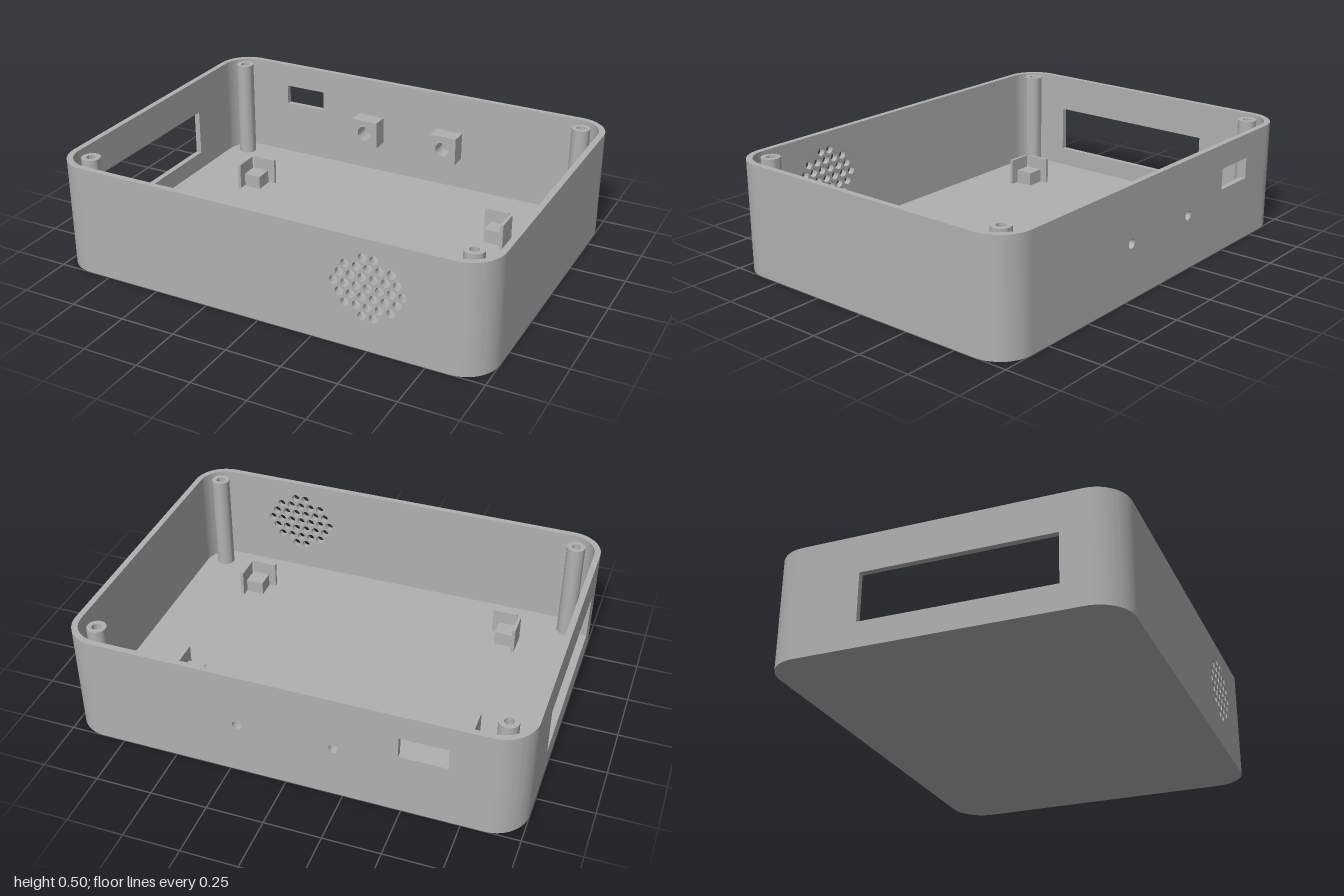
import * as THREE from 'three';
import { toCreasedNormals } from 'three/addons/utils/BufferGeometryUtils.js';

const W = 1, D = 0.75, H = 0.5;   // half width, half depth, height
const R = 0.15, T = 0.027;        // corner radius, wall thickness
const FLOOR = 0.025;

export function createModel() {
  const model = new THREE.Group();
  model.name = 'enclosure';
  const grey = new THREE.MeshStandardMaterial({ color: 0xb0b0b0 });
  grey.name = 'grey plastic';

  const add = (name, geo, x = 0, y = 0, z = 0, parent = model) => {
    const mesh = new THREE.Mesh(toCreasedNormals(geo, 0.6), grey);
    mesh.name = name;
    mesh.position.set(x, y, z);
    parent.add(mesh);
    return mesh;
  };
  const extrude = (shape, depth, curveSegments = 12) =>
    new THREE.ExtrudeGeometry(shape, { depth, bevelEnabled: false, curveSegments });
  const rect = (x0, y0, x1, y1, Type = THREE.Shape) => new Type([
    new THREE.Vector2(x0, y0), new THREE.Vector2(x1, y0),
    new THREE.Vector2(x1, y1), new THREE.Vector2(x0, y1),
  ]);
  const circle = (x, y, r) => new THREE.Path().absarc(x, y, r, 0, Math.PI * 2, true);
  const panel = (half, holes = []) => {
    const shape = rect(-half, 0, half, H);
    shape.holes.push(...holes);
    return extrude(shape, T, 8);
  };

  // Floor with rounded corners
  const fx = W - R, fz = D - R, fr = R - T;
  const floor = new THREE.Shape();
  floor.absarc(fx, fz, fr, 0, Math.PI / 2);
  floor.absarc(-fx, fz, fr, Math.PI / 2, Math.PI);
  floor.absarc(-fx, -fz, fr, Math.PI, Math.PI * 1.5);
  floor.absarc(fx, -fz, fr, Math.PI * 1.5, Math.PI * 2);
  add('floor', extrude(floor, FLOOR).rotateX(-Math.PI / 2));

  // Front wall with a hexagonal speaker grille
  const grille = [];
  [2, 5, 6, 7, 6, 5, 2].forEach((count, row) => {
    for (let i = 0; i < count; i++) {
      grille.push(circle(0.5 + (i - (count - 1) / 2) * 0.05, 0.285 + (3 - row) * 0.0433, 0.019));
    }
  });
  add('frontWall', panel(fx, grille), 0, 0, D - T);

  // Back wall with a port window and two button holes
  const buttons = [-0.21, 0.21], buttonY = 0.247;
  add('backWall', panel(fx, [
    rect(-0.687, 0.29, -0.481, 0.387, THREE.Path),
    ...buttons.map(x => circle(x, buttonY, 0.021)),
  ]), 0, 0, -D);

  // Side walls, the one at -x with a large opening
  add('rightWall', panel(fz, [rect(-0.33, 0.112, 0.505, 0.33, THREE.Path)]).rotateY(-Math.PI / 2), -W + T);
  add('leftWall', panel(fz).rotateY(-Math.PI / 2), W);

  // Rounded wall corners
  const arc = new THREE.Shape();
  arc.absarc(0, 0, R, 0, Math.PI / 2);
  arc.absarc(0, 0, R - T, Math.PI / 2, 0, true);
  [[1, -1], [-1, -1], [-1, 1], [1, 1]].forEach(([sx, sz], k) => {
    add('cornerWall', extrude(arc, H).rotateX(-Math.PI / 2).rotateY(k * Math.PI / 2), sx * fx, 0, sz * fz);
  });

  // Screw posts with blind holes
  const post = [[0.042, FLOOR], [0.042, H], [0.02, H], [0.02, 0.25], [0, 0.25]]
    .map(([r, y]) => new THREE.Vector2(r, y));
  for (const sx of [-1, 1]) for (const sz of [-1, 1]) {
    add('screwPost', new THREE.LatheGeometry(post, 32), sx * 0.884, 0, sz * 0.634);
  }

  // Button housings on the inside of the back wall
  for (const x of buttons) {
    const block = rect(-0.067, -0.067, 0.067, 0.067);
    block.holes.push(circle(0, 0, 0.036));
    add('buttonHousing', extrude(block, 0.08), x, buttonY, -D + T);
  }

  // Board supports: a low block with two thin fences around its outer corner
  for (const sx of [-1, 1]) for (const sz of [-1, 1]) {
    const support = new THREE.Group();
    support.name = 'boardSupport';
    support.position.set(sx * 0.63, FLOOR, 0.08 + sz * 0.378);
    model.add(support);
    const box = (name, w, h, d, x, z) =>
      add(name, new THREE.BoxGeometry(w, h, d), sx * x, h / 2, sz * z, support);
    box('supportBlock', 0.083, 0.065, 0.083, 0, 0);
    box('endFence', 0.115, 0.123, 0.015, -0.017, 0.054);
    box('sideFence', 0.015, 0.123, 0.115, 0.053, -0.017);
  }

  return model;
}
